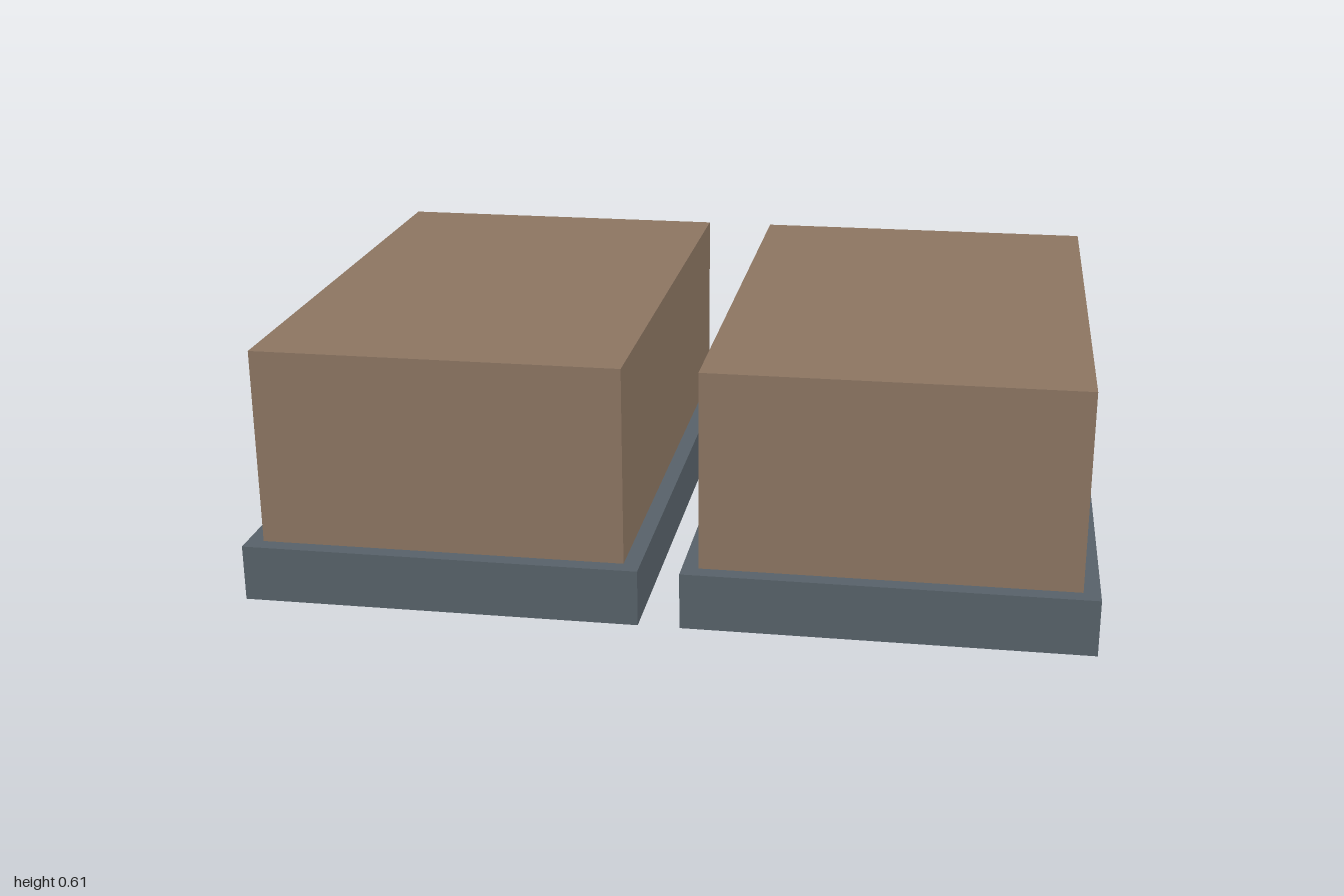
import * as THREE from 'three';

export function createModel() {
  const model = new THREE.Group();
  model.name = 'twinBlocks';

  const brown = new THREE.MeshStandardMaterial({ color: 0x8d7662 });
  brown.name = 'brown';
  const slate = new THREE.MeshStandardMaterial({ color: 0x58626a });
  slate.name = 'slate grey';

  // Box given by its lower and upper corners
  const box = (name, material, [x0, y0, z0], [x1, y1, z1]) => {
    const mesh = new THREE.Mesh(new THREE.BoxGeometry(x1 - x0, y1 - y0, z1 - z0), material);
    mesh.position.set((x0 + x1) / 2, (y0 + y1) / 2, (z0 + z1) / 2);
    mesh.name = name;
    return mesh;
  };

  const back = -0.697, front = 0.697, baseTop = 0.136, top = 0.612;
  const inner = 0.049, outer = 1, lip = 0.039;

  // Two matching blocks, each on a plinth that projects at the sides and front
  for (const [side, centre] of [['left', 1], ['right', -1]]) {
    const block = new THREE.Group();
    block.name = side + 'Block';
    const half = (outer - inner) / 2;
    block.position.x = centre * (outer + inner) / 2;
    block.add(
      box(side + 'Plinth', slate, [-half, 0, back], [half, baseTop, front]),
      box(side + 'Body', brown, [-half + lip, baseTop, back], [half - lip, top, front - lip])
    );
    model.add(block);
  }
  return model;
}
